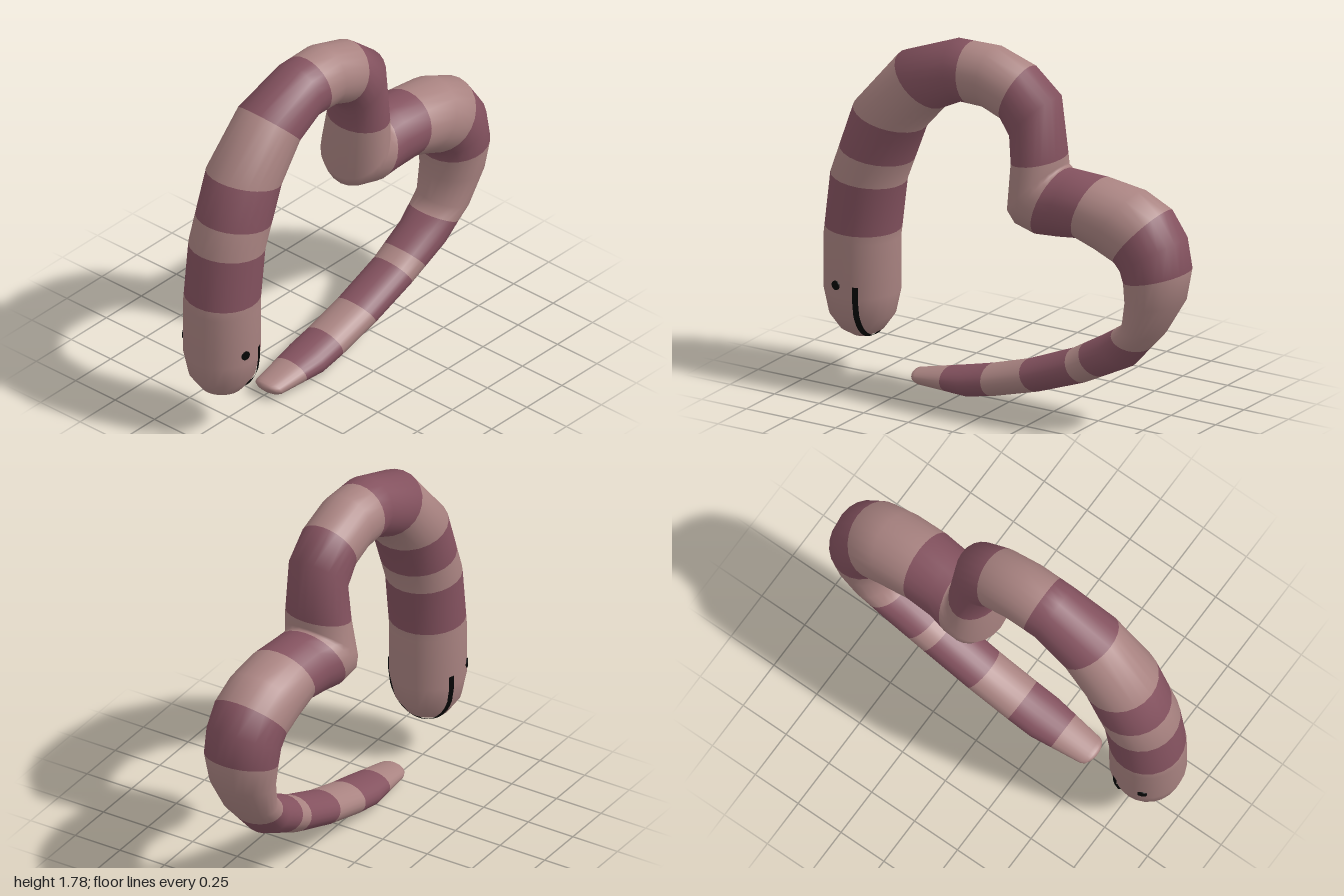
import * as THREE from 'three';

const SIDES = 24;
const MID_Z = 0.012;
const HEAD = { x: -0.815, y: 0.43, r: 0.185, length: 0.24 };

// Bends of the body from head to tail: [one edge x, y, opposite edge x, y]
const BENDS = [
  [-1, 0.43, -0.63, 0.43],
  [-1, 0.7, -0.63, 0.7],
  [-0.962, 1.02, -0.595, 0.985],
  [-0.835, 1.38, -0.48, 1.285],
  [-0.595, 1.66, -0.36, 1.42],
  [-0.3, 1.775, -0.24, 1.478],
  [-0.08, 1.78, -0.1, 1.475],
  [0.12, 1.715, 0, 1.435],
  [0.27, 1.59, 0.04, 1.36],
  [0.293, 1.28, 0.05, 1.25],
  [0.288, 1.24, 0.03, 0.98],
  [0.293, 1.232, 0.065, 0.92],
  [0.303, 1.228, 0.19, 0.89],
  [0.37, 1.232, 0.3, 0.9],
  [0.52, 1.228, 0.43, 0.92],
  [0.73, 1.2, 0.53, 0.885],
  [0.88, 1.13, 0.635, 0.84],
  [0.97, 1, 0.665, 0.81],
  [0.998, 0.84, 0.682, 0.77],
  [0.97, 0.68, 0.687, 0.66],
  [0.86, 0.5, 0.67, 0.535],
  [0.7, 0.32, 0.54, 0.45],
  [0.45, 0.195, 0.36, 0.345],
  [0.19, 0.1, 0.105, 0.24],
  [-0.06, 0.03, -0.1, 0.178],
  [-0.2, 0.002, -0.22, 0.148],
  [-0.46, 0.01, -0.49, 0.084],
];
const LAST = BENDS.length - 1;

// Half depth in z at some bends, linear in between
const DEPTHS = [[0, 0.185], [3, 0.185], [5, 0.15], [8, 0.15], [10, 0.19], [12, 0.188], [13, 0.175],
  [15, 0.187], [18, 0.185], [20, 0.145], [21, 0.125], [22, 0.117], [25, 0.115], [LAST, 0.08]];

// Places along the bends where the colour switches
const STRIPES = [1.15, 2, 2.4, 3, 4, 5.4, 7, 9, 12, 14, 16, 18, 20.45, 21.6, 22, 23, 24, 25.42];

function depthAt(s) {
  const i = Math.max(1, DEPTHS.findIndex(([at]) => at >= s));
  const [s0, d0] = DEPTHS[i - 1], [s1, d1] = DEPTHS[i];
  return THREE.MathUtils.mapLinear(s, s0, s1, d0, d1);
}

// Elliptical cross-section at a place along the body
function sectionAt(s) {
  const i = Math.min(Math.floor(s), LAST - 1);
  const [ax, ay, bx, by] = BENDS[i].map((v, k) => THREE.MathUtils.lerp(v, BENDS[i + 1][k], s - i));
  return {
    x: (ax + bx) / 2, y: (ay + by) / 2,
    ux: (ax - bx) / 2, uy: (ay - by) / 2,
    depth: depthAt(s),
    // the pinched bend sits slightly further back
    z: MID_Z - 0.028 * Math.max(0, 1 - Math.abs(s - 11) / 3),
    dark: STRIPES.filter((at) => at <= s).length % 2,
  };
}

// Shrinking sections that round off an end, from the tip inwards
function dome(base, dx, dy) {
  return [0, 15, 35, 60].map((degrees) => {
    const a = THREE.MathUtils.degToRad(degrees), k = Math.sin(a), c = Math.cos(a);
    return { ...base, x: base.x + dx * c, y: base.y + dy * c,
      ux: base.ux * k, uy: base.uy * k, depth: base.depth * k };
  });
}

// Smooth tube skinned over the cross-sections, one material group per band
function bodyGeometry() {
  const places = [...new Set([...BENDS.keys(), ...STRIPES])].sort((a, b) => a - b);
  const sections = [
    ...dome(sectionAt(0), 0, -HEAD.length),
    ...places.map(sectionAt),
    ...dome(sectionAt(LAST), -0.043, 0.003).reverse(),
  ];
  const pos = [], index = [];
  const geo = new THREE.BufferGeometry();
  sections.forEach(({ x, y, z, ux, uy, depth, dark }, i) => {
    for (let j = 0; j < SIDES; j++) {
      const a = (j / SIDES) * Math.PI * 2, c = Math.cos(a);
      pos.push(x + ux * c, y + uy * c, z + depth * Math.sin(a));
    }
    if (i === sections.length - 1) return;
    const start = index.length;
    for (let j = 0; j < SIDES; j++) {
      const k = (j + 1) % SIDES, p = i * SIDES, q = p + SIDES;
      index.push(p + j, p + k, q + k, p + j, q + k, q + j);
    }
    geo.addGroup(start, index.length - start, dark);
  });
  geo.setAttribute('position', new THREE.Float32BufferAttribute(pos, 3));
  geo.setIndex(index);
  geo.computeVertexNormals();
  return geo;
}

// Thin strip running down the front of the head, under the chin and up the back
function mouthGeometry() {
  const pos = [], index = [], steps = 32;
  for (let i = -1; i <= steps + 1; i++) {
    const t = 1 - 2 * THREE.MathUtils.clamp(i / steps, 0, 1);
    for (const d of [0.054, 0.08]) {
      const z = t * Math.sqrt(HEAD.r ** 2 - d ** 2);
      const drop = Math.sqrt(Math.max(0, 1 - (d * d + z * z) / HEAD.r ** 2));
      const y = i < 0 || i > steps ? 0.49 : HEAD.y - HEAD.length * drop - 0.003;
      pos.push(HEAD.x + d * 1.02, y, MID_Z + z * 1.025);
    }
    if (i <= steps) {
      const p = (i + 1) * 2;
      index.push(p, p + 2, p + 1, p + 1, p + 2, p + 3);
    }
  }
  const geo = new THREE.BufferGeometry();
  geo.setAttribute('position', new THREE.Float32BufferAttribute(pos, 3));
  geo.setIndex(index);
  geo.computeVertexNormals();
  return geo;
}

export function createModel() {
  const light = new THREE.MeshStandardMaterial({ color: 0xa98381 });
  light.name = 'dusty pink';
  const dark = new THREE.MeshStandardMaterial({ color: 0x84525f });
  dark.name = 'dark mauve';
  const black = new THREE.MeshStandardMaterial({ color: 0x050505, side: THREE.DoubleSide });
  black.name = 'black';

  const model = new THREE.Group();
  model.name = 'stripedWorm';
  const add = (name, geo, mat) => {
    const mesh = new THREE.Mesh(geo, mat);
    mesh.name = name;
    model.add(mesh);
    return mesh;
  };

  add('stripedBody', bodyGeometry(), [light, dark]);
  add('mouth', mouthGeometry(), black);

  // Eyes: thin discs facing outward on both faces of the head
  for (const [name, degrees] of [['frontEye', -11], ['backEye', 207]]) {
    const a = THREE.MathUtils.degToRad(degrees);
    const geo = new THREE.CylinderGeometry(0.023, 0.023, 0.009, 14).rotateX(Math.PI / 2);
    const eye = add(name, geo, black);
    eye.rotation.y = a;
    eye.position.set(HEAD.x + HEAD.r * Math.sin(a), 0.485, MID_Z + HEAD.r * Math.cos(a));
  }
  return model;
}
